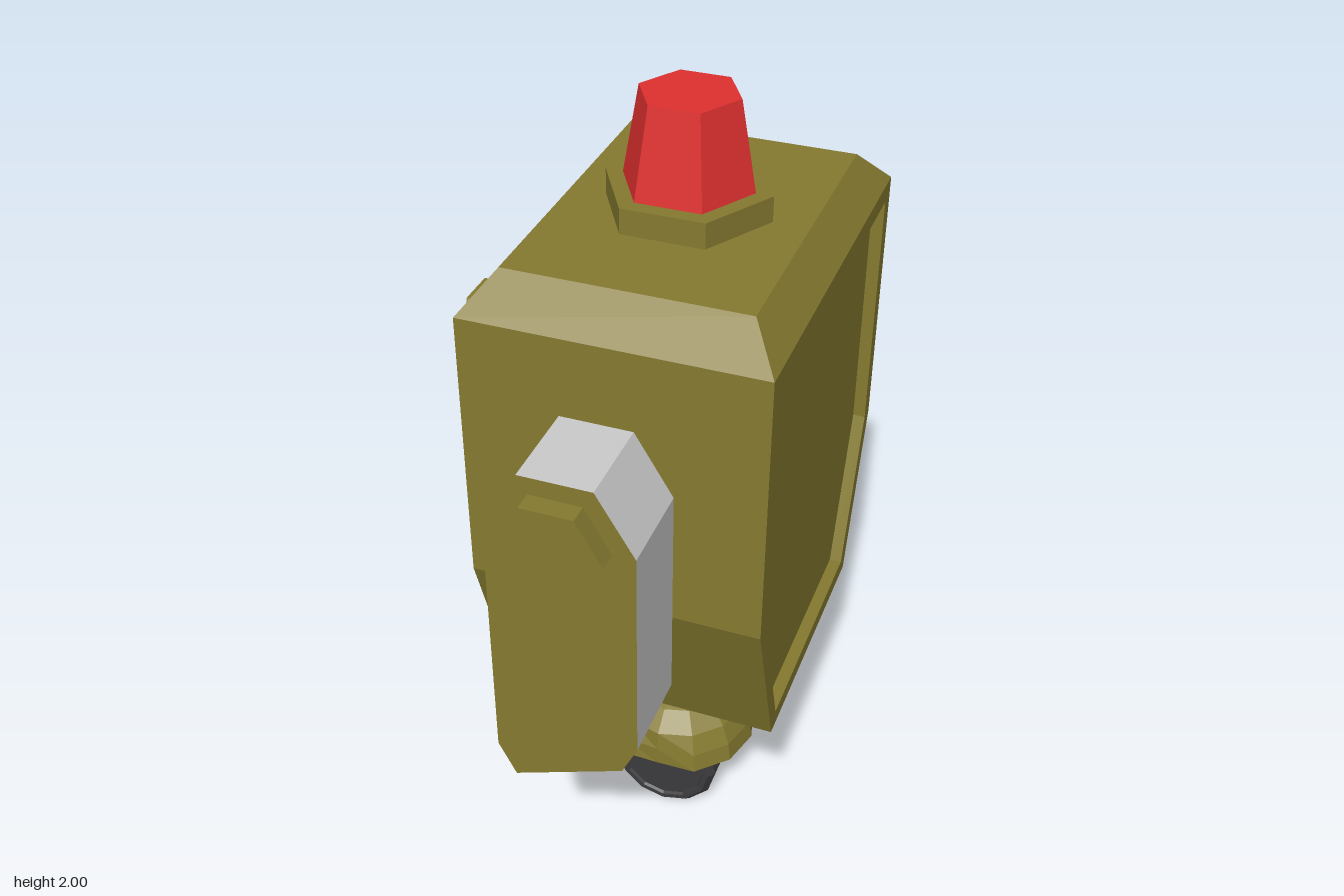
import * as THREE from 'three';

const CX = 0.09; // centre line of the body in x

const mat = (color, side = THREE.FrontSide) =>
  new THREE.MeshStandardMaterial({ color, flatShading: true, side });
const olive = mat(0x857a30);
const red = mat(0xe03030);
const grey = mat(0xcccccc);
const dark = mat(0x3c3c3e);

const polygon = (pts) => new THREE.Shape(pts.map(([x, y]) => new THREE.Vector2(x, y)));

function add(parent, name, geometry, material, x = 0, y = 0, z = 0) {
  const mesh = new THREE.Mesh(geometry, material);
  mesh.name = name;
  mesh.position.set(x, y, z);
  parent.add(mesh);
  return mesh;
}

const extrude = (shape, depth) =>
  new THREE.ExtrudeGeometry(shape, { depth, bevelEnabled: false, curveSegments: 1 });

// Extrudes a (z, y) outline from x = 0 towards -x
const extrudeX = (shape, depth) => extrude(shape, depth).rotateY(-Math.PI / 2);

// Prism standing on y with corners on the x axis
const prism = (top, bottom, height, sides = 6) =>
  new THREE.CylinderGeometry(top, bottom, height, sides).rotateY(Math.PI / 2);

// Hexagonal bolt lying along z with corners on the x axis
const bolt = (r, length) => prism(r, r, length).rotateX(Math.PI / 2);

const ring = (r, n) => Array.from({ length: n }, (_, i) => {
  const a = ((i + 0.5) / n) * Math.PI * 2;
  return [r * Math.cos(a), r * Math.sin(a)];
});

function buildBody() {
  const body = new THREE.Group();
  body.name = 'body';
  const outline = [[-0.325, 0.575], [0.325, 0.575], [0.465, 0.99], [0.465, 1.65], [-0.465, 1.65], [-0.465, 0.99]];
  const inner = [[-0.295, 0.615], [0.295, 0.615], [0.425, 0.995], [0.425, 1.605], [-0.425, 1.605], [-0.425, 0.995]];
  add(body, 'bodyCore', extrudeX(polygon(outline), 0.62), olive, 0.4);

  // Raised frames around the recessed panels
  const frame = polygon(outline);
  frame.holes.push(polygon(inner));
  add(body, 'leftPanelFrame', extrudeX(frame, 0.03), olive, 0.43);
  add(body, 'rightPanelFrame', extrudeX(frame, 0.03), olive, -0.22);

  // Chamfered lid
  const lid = new THREE.BoxGeometry(0.68, 0.085, 0.93);
  const p = lid.attributes.position;
  for (let i = 0; i < p.count; i++) {
    if (p.getY(i) > 0) {
      p.setX(i, Math.sign(p.getX(i)) * 0.273);
      p.setZ(i, Math.sign(p.getZ(i)) * 0.38);
    }
  }
  lid.computeVertexNormals();
  add(body, 'lid', lid, olive, CX, 1.6925);
  return body;
}

function buildEye() {
  const eye = new THREE.Group();
  eye.name = 'eye';
  // Hood: open tube whose outer end is cut on a slant
  const shape = polygon(ring(0.188, 12));
  shape.holes.push(polygon(ring(0.165, 12)));
  const hood = extrudeX(shape, 1);
  const p = hood.attributes.position;
  for (let i = 0; i < p.count; i++) {
    const slant = -0.035 - ((p.getY(i) + 0.182) / 0.364) * 0.18;
    p.setX(i, p.getX(i) < -0.5 ? slant : 0);
  }
  hood.computeVertexNormals();
  add(eye, 'eyeHood', hood, olive, -0.22, 1.248);
  const lens = new THREE.CircleGeometry(0.168, 12).rotateY(-Math.PI / 2);
  add(eye, 'eyeLens', lens, red, -0.235, 1.248);
  return eye;
}

function buildArm(side) {
  const arm = new THREE.Group();
  arm.name = side > 0 ? 'frontArm' : 'backArm';
  const sides = [[0.22, 0.79], [0.255, 0.865], [0.255, 1.38], [0.17, 1.52],
    [0.01, 1.52], [-0.07, 1.38], [-0.07, 0.77], [-0.03, 0.69]];
  // The core has a shallow recess in its slanted lower end
  const notch = [[-0.017, 0.695], [-0.037, 0.745], [0.187, 0.835], [0.207, 0.785]];
  add(arm, 'armCore', extrude(polygon([...sides, ...notch]), 0.18), [olive, grey], 0, 0, side * 0.645 - 0.09);
  for (const [name, z] of [['armInnerPlate', 0.5475], ['armOuterPlate', 0.7425]]) {
    add(arm, name, extrude(polygon(sides), 0.015), [olive, grey], 0, 0, side * z - 0.0075);
  }
  add(arm, 'shoulderShaft', bolt(0.09, 0.1), olive, CX, 1.38, side * 0.495);
  add(arm, 'shoulderBolt', bolt(0.115, 0.045), olive, CX, 1.38, side * 0.7725);
  return arm;
}

function buildBeacon() {
  const beacon = new THREE.Group();
  beacon.name = 'beacon';
  add(beacon, 'beaconBase', prism(0.19, 0.19, 0.06), olive, CX, 1.765);
  add(beacon, 'beaconLamp', prism(0.113, 0.15, 0.205), red, CX, 1.8975);
  return beacon;
}

function buildCaster() {
  const caster = new THREE.Group();
  caster.name = 'caster';
  add(caster, 'stem', prism(0.05, 0.05, 0.18, 8), olive, CX, 0.49);
  add(caster, 'collar', prism(0.065, 0.065, 0.07, 8), olive, CX, 0.38);

  // Dome cover flattened on its front and back
  const profile = [[0, 0], [0.203, 0], [0.195, 0.05], [0.172, 0.1], [0.125, 0.145], [0.06, 0.168], [0, 0.168]];
  const dome = new THREE.LatheGeometry(profile.map(([r, y]) => new THREE.Vector2(r, y)), 12);
  const p = dome.attributes.position;
  for (let i = 0; i < p.count; i++) p.setZ(i, THREE.MathUtils.clamp(p.getZ(i), -0.178, 0.178));
  dome.computeVertexNormals();
  add(caster, 'wheelCover', dome, olive, CX, 0.2);

  // Twin wheels with bevelled rims and slightly sunken hubs
  const tyre = [[0, -0.052], [0.12, -0.052], [0.14, -0.038], [0.14, 0.035], [0.125, 0.053], [0.112, 0.053], [0.108, 0.046], [0, 0.046]];
  const wheel = new THREE.LatheGeometry(tyre.map(([r, y]) => new THREE.Vector2(r, y)), 12).rotateX(Math.PI / 2);
  for (const side of [1, -1]) {
    const mesh = add(caster, side > 0 ? 'frontWheel' : 'backWheel', wheel, dark, CX, 0.143, side * 0.077);
    if (side < 0) mesh.rotation.y = Math.PI;
  }
  add(caster, 'axle', prism(0.1, 0.1, 0.08, 12).rotateX(Math.PI / 2), dark, CX, 0.143);
  return caster;
}

export function createModel() {
  const model = new THREE.Group();
  model.name = 'robot';
  model.add(buildBody(), buildEye(), buildArm(1), buildArm(-1), buildBeacon(), buildCaster());
  return model;
}
